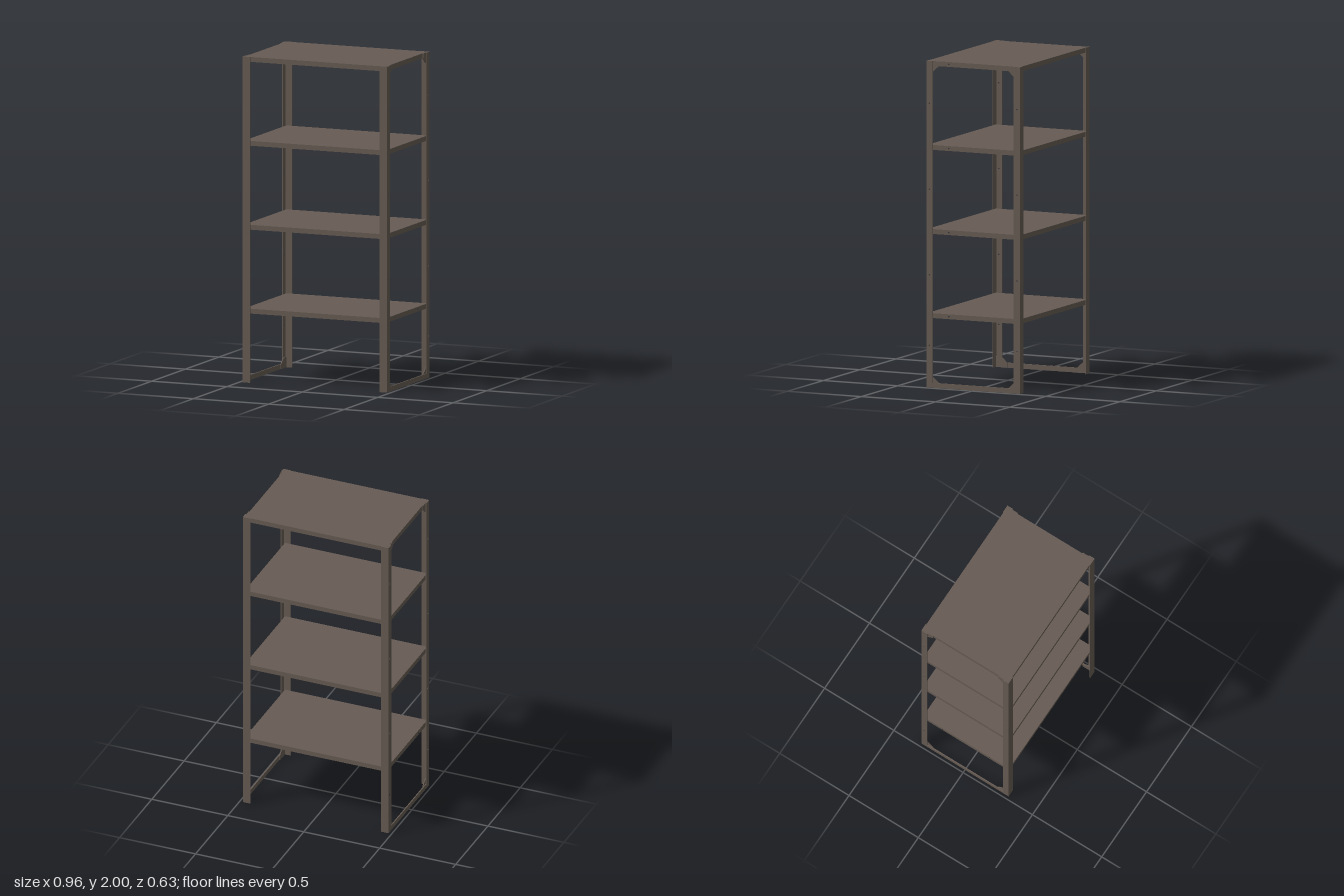
import * as THREE from 'three';

const steel = new THREE.MeshStandardMaterial({ color: 0x675c54 });
steel.name = 'brown steel';

const W = 0.48, D = 0.315, H = 2, T = 0.004; // half width, half depth, height, sheet thickness
const SHELF_X = 0.468, SHELF_Z = 0.311, SKIRT = 0.03;
const SHELF_TOPS = [0.455, 0.97, 1.485, 2];
const LEG_HOLES = [0.26, 0.69, 1.215, 1.74];

function box(name, x0, x1, y0, y1, z0, z1) {
  const mesh = new THREE.Mesh(new THREE.BoxGeometry(x1 - x0, y1 - y0, z1 - z0), steel);
  mesh.position.set((x0 + x1) / 2, (y0 + y1) / 2, (z0 + z1) / 2);
  mesh.name = name;
  return mesh;
}

// Upright sheet facing sideways: outline in (z, y), optional bolt holes
function sidePlate(name, x0, x1, outline, holes = []) {
  const shape = new THREE.Shape(outline.map(([z, y]) => new THREE.Vector2(-z, y)));
  for (const [z, y] of holes) {
    shape.holes.push(new THREE.Path().absarc(-z, y, 0.005, 0, Math.PI * 2, true));
  }
  const geo = new THREE.ExtrudeGeometry(shape, { depth: x1 - x0, bevelEnabled: false, curveSegments: 6 });
  geo.rotateY(Math.PI / 2).translate(x0, 0, 0);
  const mesh = new THREE.Mesh(geo, steel);
  mesh.name = name;
  return mesh;
}

const rect = (z0, z1, y0, y1) => [[z0, y0], [z1, y0], [z1, y1], [z0, y1]];

// Shelf: folded tray, open underneath
function makeShelf(top) {
  const shelf = new THREE.Group();
  shelf.name = 'shelf';
  const low = top - SKIRT;
  shelf.add(box('shelfTop', -SHELF_X, SHELF_X, top - T, top, -SHELF_Z, SHELF_Z));
  shelf.add(box('shelfFrontLip', -SHELF_X, SHELF_X, low, top - T, SHELF_Z - T, SHELF_Z));
  shelf.add(box('shelfBackLip', -SHELF_X, SHELF_X, low, top - T, -SHELF_Z, -SHELF_Z + T));
  const holes = [-0.17, 0.17].map((z) => [z, top - SKIRT / 2]);
  const inner = SHELF_Z - T;
  for (const x of [-SHELF_X, SHELF_X - T]) {
    shelf.add(sidePlate('shelfSideLip', x, x + T, rect(-inner, inner, low, top - T), holes));
  }
  return shelf;
}

// Side frame on +x: two angle legs, corner gussets and a floor rail
function makeSideFrame() {
  const frame = new THREE.Group();
  frame.name = 'sideFrame';
  const flangeX = 0.474;
  for (const s of [1, -1]) {
    const zIn = s * (D - T);
    frame.add(box('legFace', 0.43, W, 0, H, Math.min(zIn, s * D), Math.max(zIn, s * D)));
    frame.add(sidePlate('legSide', flangeX, W, rect(s * 0.273, zIn, 0, H),
      LEG_HOLES.map((y) => [s * 0.295, y])));
    for (const top of [false, true]) {
      const outline = [[0.311, 0], [0.235, 0], [0.235, 0.03], [0.274, 0.065], [0.311, 0.065]]
        .map(([z, y]) => [s * z, top ? H - y : y]);
      frame.add(sidePlate('gusset', SHELF_X + 0.0005, flangeX, outline));
    }
  }
  frame.add(box('floorRail', 0.473, W, 0, 0.03, -0.273, 0.273));
  return frame;
}

export function createModel() {
  const model = new THREE.Group();
  model.name = 'shelvingUnit';
  for (const top of SHELF_TOPS) model.add(makeShelf(top));
  const left = makeSideFrame();
  left.name = 'leftFrame';
  const right = makeSideFrame();
  right.name = 'rightFrame';
  right.rotation.y = Math.PI;
  model.add(left, right);
  return model;
}
